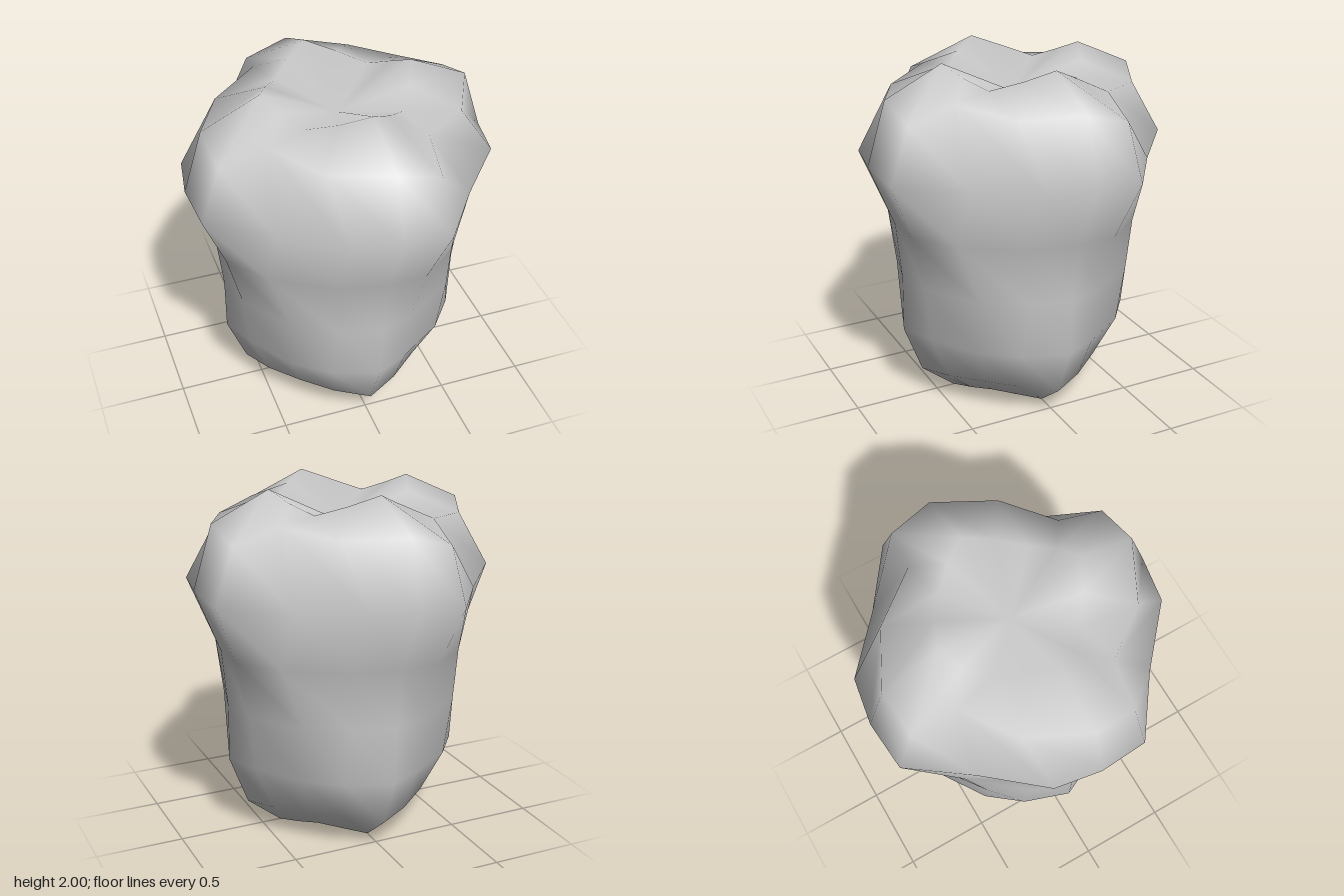
import * as THREE from 'three';

// One quarter of each ring, bottom to top: a lobe's near shoulder, its crest,
// its far shoulder and the flank between lobes, each as [x, y, z].
const QUARTER_RINGS = [
  [[-0.13, 0.03, 0.32], [0.00, 0.00, 0.39], [0.13, 0.03, 0.33], [0.26, 0.065, 0.26]],
  [[-0.20, 0.20, 0.51], [0.00, 0.16, 0.59], [0.18, 0.18, 0.50], [0.36, 0.20, 0.36]],
  [[-0.25, 0.45, 0.61], [0.01, 0.45, 0.70], [0.20, 0.45, 0.61], [0.46, 0.45, 0.44]],
  [[-0.22, 0.78, 0.64], [0.02, 0.78, 0.70], [0.21, 0.78, 0.645], [0.51, 0.78, 0.446]],
  [[-0.23, 1.12, 0.68], [0.03, 1.12, 0.735], [0.25, 1.12, 0.73], [0.47, 1.12, 0.56]],
  [[-0.22, 1.49, 0.84], [0.05, 1.49, 0.885], [0.33, 1.46, 0.86], [0.57, 1.46, 0.53]],
  [[-0.28, 1.825, 0.61], [0.05, 1.845, 0.775], [0.30, 1.77, 0.75], [0.33, 1.86, 0.49]],
  [[-0.12, 1.94, 0.37], [0.04, 2.00, 0.44], [0.16, 1.94, 0.37], [0.27, 1.885, 0.27]],
];
const FLOOR_Y = 0.06; // middle of the underside
const BOWL_Y = 1.78;  // middle of the chewing surface

function toothGeometry() {
  const positions = [];
  const index = [];
  const sides = 16;

  // Turn each quarter four times around the upright axis
  for (const quarter of QUARTER_RINGS) {
    for (let turn = 0; turn < 4; turn++) {
      for (const point of quarter) {
        let [x, y, z] = point;
        for (let k = 0; k < turn; k++) [x, z] = [z, -x];
        positions.push(x, y, z);
      }
    }
  }

  // Skin between neighbouring rings
  for (let i = 0; i < QUARTER_RINGS.length - 1; i++) {
    for (let j = 0; j < sides; j++) {
      const next = (j + 1) % sides;
      const a = i * sides + j, b = i * sides + next;
      const c = b + sides, d = a + sides;
      index.push(a, b, d, b, c, d);
    }
  }

  // Sunken underside and bowl-shaped top
  const floor = positions.length / 3;
  const bowl = floor + 1;
  positions.push(0, FLOOR_Y, 0, 0, BOWL_Y, 0);
  const last = (QUARTER_RINGS.length - 1) * sides;
  for (let j = 0; j < sides; j++) {
    const next = (j + 1) % sides;
    index.push(floor, next, j, bowl, last + j, last + next);
  }

  const geometry = new THREE.BufferGeometry();
  geometry.setAttribute('position', new THREE.Float32BufferAttribute(positions, 3));
  geometry.setIndex(index);
  geometry.computeVertexNormals();
  return geometry;
}

export function createModel() {
  const group = new THREE.Group();
  group.name = 'molarTooth';
  const tooth = new THREE.Mesh(
    toothGeometry(),
    new THREE.MeshStandardMaterial({ color: 0xcccccc })
  );
  tooth.name = 'lobedToothBody';
  group.add(tooth);
  return group;
}
